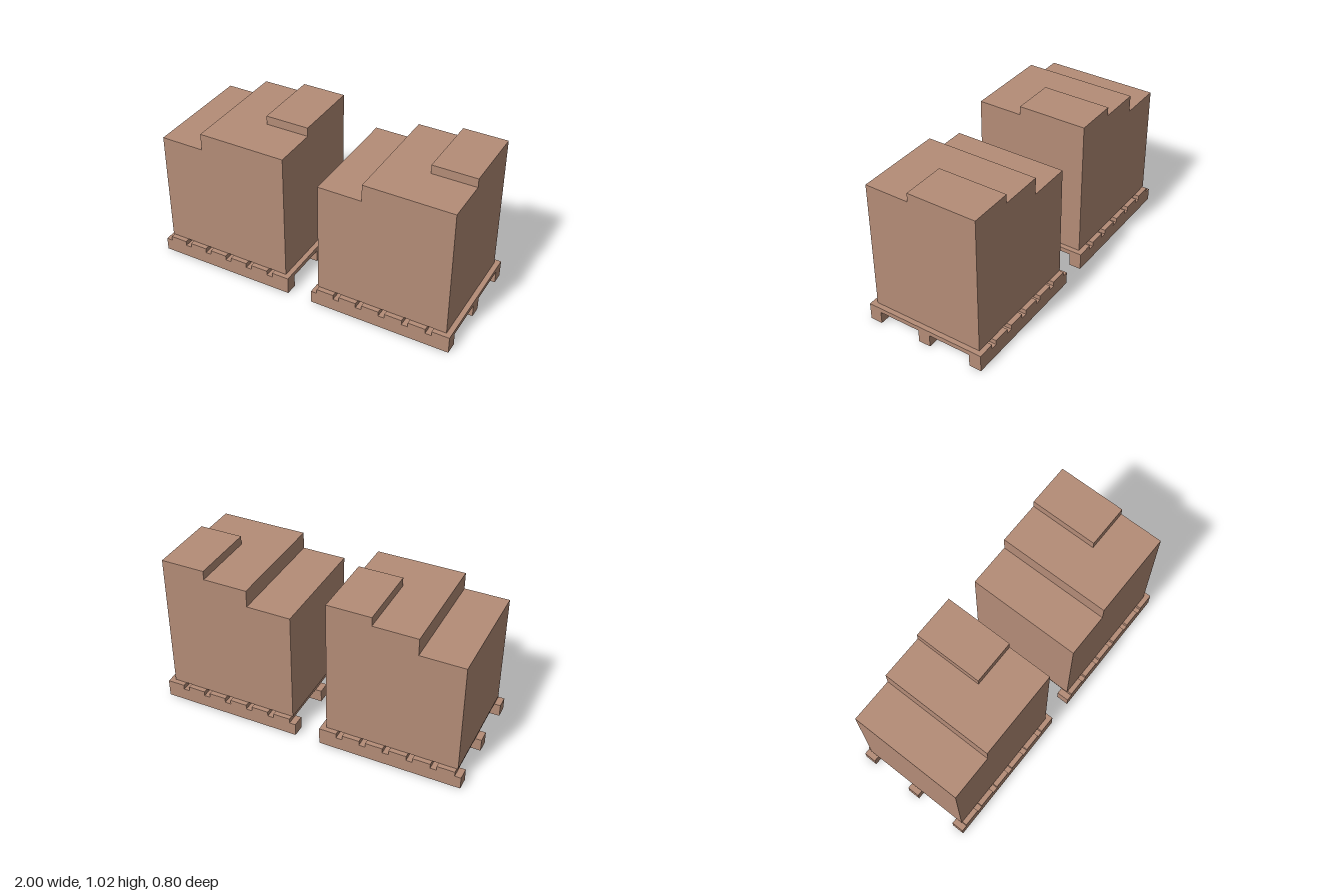
import * as THREE from 'three';

const cardboard = new THREE.MeshStandardMaterial({ color: 0xb48c77 });
cardboard.name = 'cardboard brown';

// Box given by its lower and upper bounds on each axis
function block(name, [x0, x1], [y0, y1], [z0, z1]) {
  const mesh = new THREE.Mesh(new THREE.BoxGeometry(x1 - x0, y1 - y0, z1 - z0), cardboard);
  mesh.position.set((x0 + x1) / 2, (y0 + y1) / 2, (z0 + z1) / 2);
  mesh.name = name;
  return mesh;
}

const HALF = 0.459;   // half pallet width
const DECK = 0.083;   // underside of the slats
const TOP = 0.113;    // top of the slats

function createPallet() {
  const pallet = new THREE.Group();
  pallet.name = 'pallet';
  // three runners
  for (const z of [-0.36, 0, 0.36]) {
    pallet.add(block('runner', [-HALF, HALF], [0, DECK], [z - 0.04, z + 0.04]));
  }
  // six slats with a gap to the left of each
  const pitch = (2 * HALF) / 6;
  for (let i = 0; i < 6; i++) {
    const x = -HALF + i * pitch;
    pallet.add(block('slat', [x + 0.04, x + pitch], [DECK, TOP], [-0.4, 0.4]));
  }
  return pallet;
}

function createLoad() {
  const load = new THREE.Group();
  load.name = 'load';
  const w = 0.426, d = 0.368;
  // stepped main stack
  const profile = new THREE.Shape([
    [-w, TOP], [w, TOP], [w, 0.96], [-w / 3, 0.96], [-w / 3, 0.85], [-w, 0.85],
  ].map(([x, y]) => new THREE.Vector2(x, y)));
  const geometry = new THREE.ExtrudeGeometry(profile, { depth: 2 * d, bevelEnabled: false });
  geometry.translate(0, 0, -d);
  const stack = new THREE.Mesh(geometry, cardboard);
  stack.name = 'stack';
  load.add(stack);
  // raised rear corner
  load.add(block('topBox', [w / 3, w], [0.96, 1.017], [-d, 0.078]));
  return load;
}

export function createModel() {
  const model = new THREE.Group();
  model.name = 'loadedPallets';
  for (const [name, x] of [['rightPallet', -0.541], ['leftPallet', 0.541]]) {
    const unit = new THREE.Group();
    unit.name = name;
    unit.add(createPallet(), createLoad());
    unit.position.x = x;
    model.add(unit);
  }
  return model;
}
